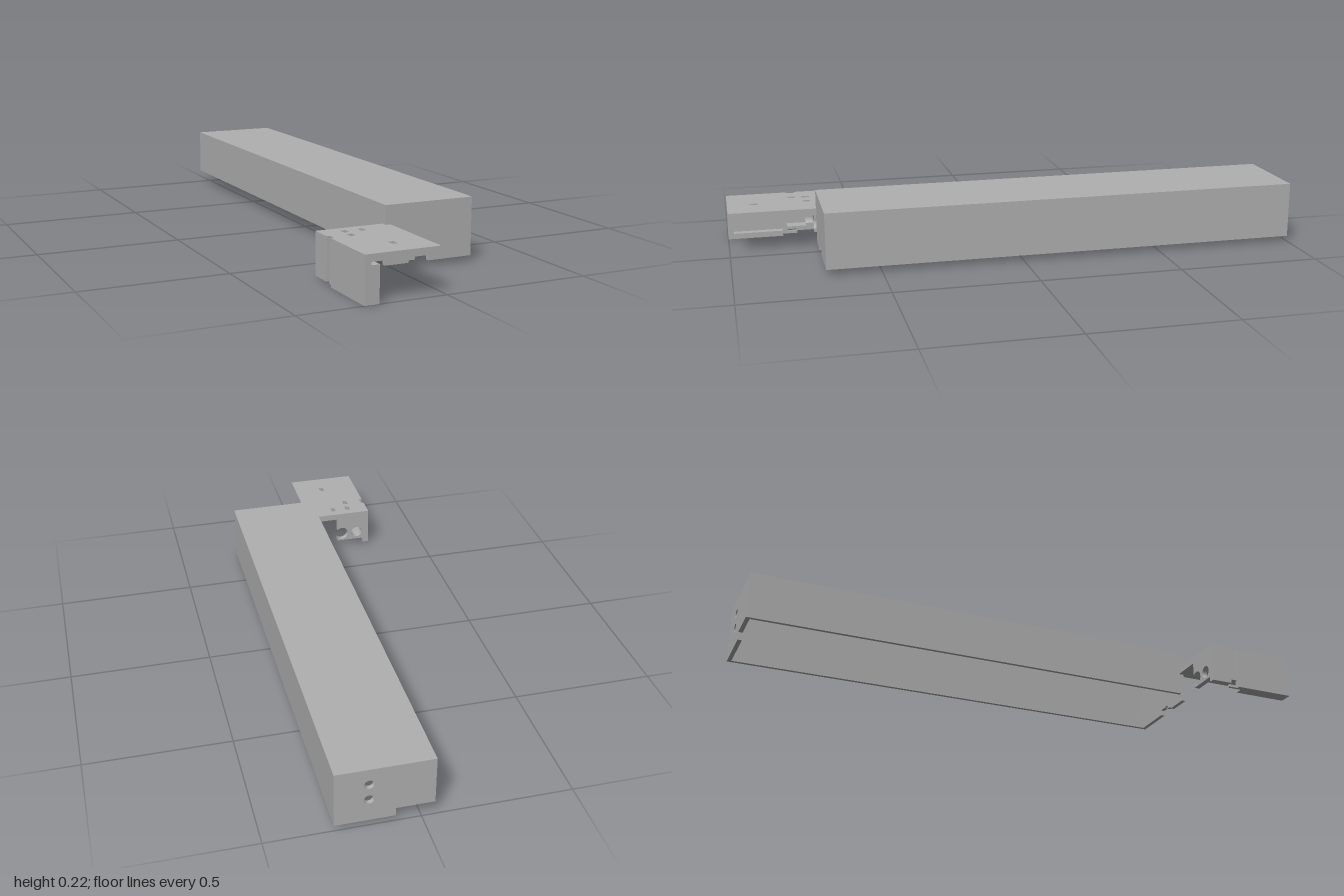
import * as THREE from 'three';

const grey = new THREE.MeshStandardMaterial({ color: 0xb0b0b0 });
grey.name = 'plain grey';

// Box given by its limits on each axis
function block(name, [x0, x1], [y0, y1], [z0, z1]) {
  const g = new THREE.BoxGeometry(x1 - x0, y1 - y0, z1 - z0);
  g.translate((x0 + x1) / 2, (y0 + y1) / 2, (z0 + z1) / 2);
  const m = new THREE.Mesh(g, grey);
  m.name = name;
  return m;
}

function outline(points) {
  return new THREE.Shape(points.map(([x, y]) => new THREE.Vector2(x, y)));
}

function roundHole(x, y, r) {
  return new THREE.Path().absarc(x, y, r, 0, Math.PI * 2, false);
}

// Upright slab: an x-y outline running from z0 to z1
function slab(name, shape, z0, z1) {
  const g = new THREE.ExtrudeGeometry(shape, { depth: z1 - z0, bevelEnabled: false, curveSegments: 24 });
  g.translate(0, 0, z0);
  const m = new THREE.Mesh(g, grey);
  m.name = name;
  return m;
}

// Long hollow cover, open underneath
function createCover() {
  const cover = new THREE.Group();
  cover.name = 'longCover';
  const L = -0.043, R = 0.278, top = 0.206, t = 0.012;

  cover.add(block('coverTop', [L, R], [top, 0.218], [-1, 0.69]));
  cover.add(block('coverLeftWall', [R - t, R], [0.02, top], [-0.985, 0.675]));
  cover.add(block('coverRightWall', [L, L + t], [0.049, top], [-0.985, 0.675]));

  // Front wall with a stepped notch in its lower edge
  cover.add(slab('coverFrontWall', outline([
    [L, 0.02], [0.043, 0.02], [0.043, 0.028], [0.067, 0.028], [0.067, 0.042], [0.09, 0.042],
    [0.09, 0.04], [0.118, 0.04], [0.118, 0.02], [R, 0.02], [R, top], [L, top],
  ]), 0.675, 0.69));

  // Back wall, cut away low on one side, with two cable holes
  const back = outline([[L, 0.049], [0.083, 0.049], [0.083, 0.02], [R, 0.02], [R, top], [L, top]]);
  for (const y of [0.102, 0.16]) back.holes.push(roundHole(0.168, y, 0.016));
  cover.add(slab('coverBackWall', back, -1, -0.985));
  return cover;
}

// Bracket end plate with a round bite out of its free edge
function bittenPlate(right, cx, r) {
  const cy = 0.062;
  const a = Math.acos((right - cx) / r);
  const s = new THREE.Shape();
  s.moveTo(-0.258, 0.03);
  s.lineTo(right, 0.03);
  s.lineTo(right, cy - r * Math.sin(a));
  s.absarc(cx, cy, r, -a, a, true);
  s.lineTo(right, 0.13);
  s.lineTo(-0.258, 0.13);
  s.closePath();
  return s;
}

// Small angled bracket
function createBracket() {
  const bracket = new THREE.Group();
  bracket.name = 'bracket';
  const L = -0.28, inner = -0.258, under = 0.13;

  // Top plate, drawn in x and -z, with slots and an edge notch
  const plan = outline([
    [L, -1], [-0.025, -1], [-0.025, -0.67], [L, -0.67],
    [L, -0.748], [-0.268, -0.748], [-0.268, -0.78], [L, -0.78],
  ]);
  for (const [x, z] of [[-0.2, 0.715], [-0.14, 0.715], [-0.203, 0.765], [-0.135, 0.905]]) {
    const w = 0.009, d = 0.014;
    plan.holes.push(new THREE.Path([[-w, -d], [-w, d], [w, d], [w, -d]]
      .map(([u, v]) => new THREE.Vector2(x + u, -z + v))));
  }
  const plate = slab('bracketTop', plan, 0, 0.024);
  plate.geometry.rotateX(-Math.PI / 2).translate(0, under, 0);
  bracket.add(plate);

  // Side wall in two lengths, joined by a thinner grooved web
  bracket.add(block('sideWallFront', [L, inner], [0, under], [0.78, 1]));
  bracket.add(block('sideWallBack', [L, inner], [0.01, under], [0.67, 0.748]));
  bracket.add(block('grooveWeb', [-0.268, inner], [0.03, under], [0.748, 0.78]));
  bracket.add(block('grooveFoot', [-0.268, inner], [0, 0.01], [0.745, 0.78]));

  // C-shaped rim inside the side wall
  const rim = [inner, -0.23];
  bracket.add(block('rimTop', rim, [0.105, 0.12], [0.8, 0.98]));
  bracket.add(block('rimBottom', rim, [0, 0.02], [0.8, 0.98]));
  bracket.add(block('rimFront', rim, [0, 0.12], [0.98, 1]));

  // End plate with one full hole and one open hole
  const end = bittenPlate(-0.148, -0.167, 0.026);
  end.holes.push(roundHole(-0.23, 0.062, 0.022));
  bracket.add(slab('endPlate', end, 0.67, 0.69));
  bracket.add(slab('endPlateThickening', bittenPlate(-0.212, -0.23, 0.022), 0.69, 0.715));
  bracket.add(block('smallShelf', [inner, -0.212], [0.03, 0.04], [0.715, 0.785]));
  return bracket;
}

export function createModel() {
  const model = new THREE.Group();
  model.name = 'coverAndBracket';
  model.add(createCover(), createBracket());
  return model;
}
